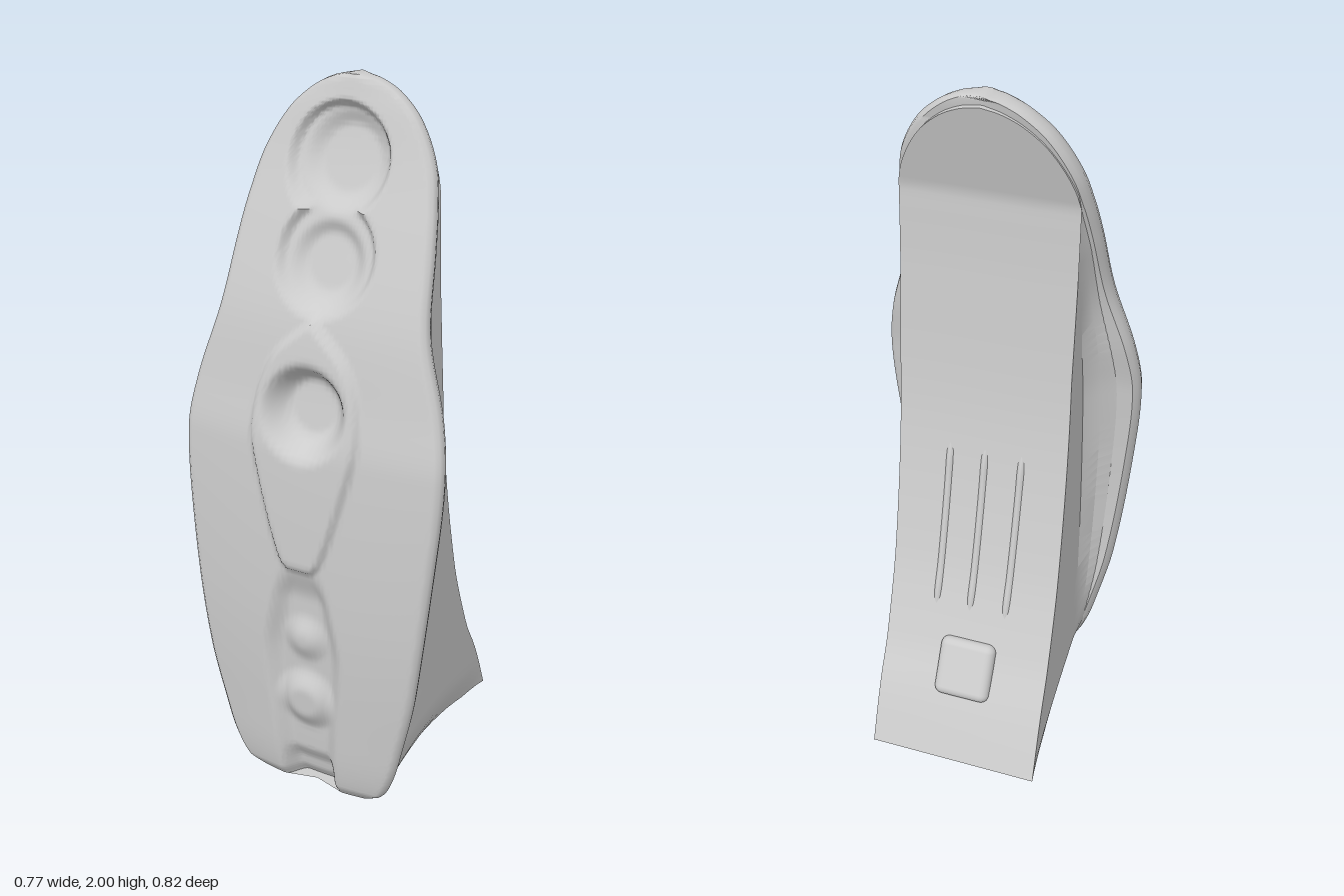
import * as THREE from 'three';
import { toCreasedNormals } from 'three/addons/utils/BufferGeometryUtils.js';
import { RoundedBoxGeometry } from 'three/addons/geometries/RoundedBoxGeometry.js';

const grey = new THREE.MeshStandardMaterial({ color: 0xcccccc });
const { smoothstep, lerp, clamp } = THREE.MathUtils;

// Smooth curve through [y, value] keys
function curve(keys) {
  const slope = (i) => {
    const a = keys[Math.max(i - 1, 0)], b = keys[Math.min(i + 1, keys.length - 1)];
    return (b[1] - a[1]) / (b[0] - a[0]);
  };
  return (y) => {
    let i = 0;
    while (i < keys.length - 2 && y > keys[i + 1][0]) i++;
    const [y0, a] = keys[i], [y1, b] = keys[i + 1], h = y1 - y0;
    const t = clamp((y - y0) / h, 0, 1), t2 = t * t, t3 = t2 * t;
    return (2 * t3 - 3 * t2 + 1) * a + (t3 - 2 * t2 + t) * h * slope(i)
      + (3 * t2 - 2 * t3) * b + (t3 - t2) * h * slope(i + 1);
  };
}

// Half width of the plate, its front depth, the back depth of the body
const halfWidth = curve([[0, 0.185], [0.03, 0.225], [0.1, 0.26], [0.2, 0.288], [0.4, 0.332], [0.8, 0.378],
  [1.05, 0.392], [1.2, 0.37], [1.4, 0.312], [1.6, 0.288], [1.7, 0.273], [1.8, 0.248], [1.9, 0.192],
  [1.96, 0.128], [1.99, 0.068], [2, 0.02]]);
const frontZ = curve([[0, 0.305], [0.04, 0.325], [0.2, 0.338], [0.6, 0.348], [1.05, 0.326], [1.2, 0.3],
  [1.4, 0.265], [1.6, 0.2], [1.8, 0.128], [1.95, 0.09], [2, 0.082]]);
const lowerBack = curve([[0, -0.37], [0.2, -0.28], [0.36, -0.195], [0.6, -0.095], [1.02, 0.013],
  [1.45, 0.065], [1.7, 0.08]]);
const backZ = (y) => (y < 1.7 ? lowerBack(y) : lerp(0.08, 0.015, (y - 1.7) / 0.25));
const leafWidth = curve([[0.72, 0.045], [0.76, 0.075], [0.96, 0.138], [1.13, 0.17], [1.3, 0.125], [1.42, 0]]);
const channelWidth = curve([[0, 0.1], [0.2, 0.11], [0.45, 0.13], [0.6, 0.105], [0.74, 0.07]]);

// Height of the carved pattern on the front
function relief(x, y) {
  const disc = (cx, cy, r, soft) => smoothstep(r - Math.hypot(x - cx, y - cy), 0, soft);
  let z = 0;
  // figure-eight recess with two bowls
  z -= 0.028 * Math.max(disc(-0.01, 1.79, 0.155, 0.03), disc(0, 1.56, 0.15, 0.03));
  z -= 0.025 * disc(0.005, 1.79, 0.135, 0.06) + 0.025 * disc(0, 1.54, 0.115, 0.05);
  // raised leaf with a deep bowl
  z += 0.018 * smoothstep(leafWidth(y) - Math.abs(x), 0, 0.025) * smoothstep(y, 0.715, 0.74);
  z -= 0.07 * disc(0, 1.17, 0.135, 0.07);
  // lower channel with two knobs and a notch at the foot
  z -= 0.032 * smoothstep(channelWidth(y) - Math.abs(x), 0, 0.06) * smoothstep(0.74 - y, 0, 0.12);
  z += 0.022 * disc(0, 0.5, 0.08, 0.07) + 0.028 * disc(0, 0.3, 0.105, 0.07);
  z -= 0.025 * smoothstep(0.09 - Math.abs(x), 0, 0.04) * smoothstep(0.13 - y, 0, 0.07);
  return z;
}

// Skin over equal closed loops stacked upwards, with fan caps
function loft(rows, crease) {
  const n = rows[0].length, pos = rows.flat(2), index = [];
  for (let i = 0; i < rows.length - 1; i++) {
    for (let j = 0; j < n; j++) {
      const a = i * n + j, b = i * n + (j + 1) % n;
      index.push(a, b, b + n, a, b + n, a + n);
    }
  }
  for (const [row, top] of [[0, false], [rows.length - 1, true]]) {
    const c = pos.length / 3;
    for (let k = 0; k < 3; k++) pos.push(rows[row].reduce((s, p) => s + p[k], 0) / n);
    for (let j = 0; j < n; j++) {
      const a = row * n + j, b = row * n + (j + 1) % n;
      index.push(c, ...(top ? [a, b] : [b, a]));
    }
  }
  const g = new THREE.BufferGeometry();
  g.setAttribute('position', new THREE.Float32BufferAttribute(pos, 3));
  g.setIndex(index);
  return toCreasedNormals(g, crease);
}

// Curved front plate with a rounded rim, thicker on its right
function plateGeometry() {
  const rows = [], N = 220, M = 110;
  for (let i = 0; i <= N; i++) {
    const y = 1 - Math.cos(Math.PI * i / N), w = halfWidth(y), z = frontZ(y);
    const inset = Math.min(0.018, w * 0.4), loop = [];
    for (let j = 0; j <= M; j++) {
      const t = j / M * 2 - 1, x = t * (w - inset);
      loop.push([x, y, z + 0.07 * w * (1 - t * t) + relief(x, y)]);
    }
    const rim = (sign, thick) => [[0.3, 0.16], [0, 0.48], [0.3, 0.8], [1, 1]].map(
      ([a, b]) => [sign * (w - a * inset), y, z - b * thick]);
    loop.push(...rim(1, 0.05), ...rim(-1, 0.068).reverse());
    rows.push(loop);
  }
  return loft(rows, 0.8);
}

// Wedge body behind the plate, a little wider on its right, hollowed underneath
function bodyGeometry() {
  const rows = [], N = 80, S = 12;
  for (let i = 0; i <= N; i++) {
    const y = 1.975 * Math.sin(Math.PI / 2 * i / N), zb = backZ(y);
    const w = halfWidth(Math.min(2, y + 0.025)) - 0.015;
    const zf = Math.max(frontZ(y) - 0.045, zb + 0.008);
    const flank = (sign, front, back, taper) => {
      const f = Math.min(front, w), b = y > 1 ? Math.min(back, w) : back;
      const zs = Math.max(zf - taper, zb + 0.004);
      const line = [[sign * w, zf], [sign * lerp(f, w, 0.3), lerp(zf, zs, 0.45)]];
      for (let k = 0; k <= S; k++) line.push([sign * lerp(f, b, k / S), lerp(zs, zb, k / S)]);
      line.push([sign * b * 0.5, zb]);
      return line;
    };
    const h = Math.min(1, y / 1.2);
    const left = flank(1, 0.25, lerp(0.222, 0.252, h), 0.035);
    const right = flank(-1, 0.245, lerp(0.288, 0.252, h), 0.09);
    const fade = Math.max(0, 1 - y / 0.3);
    rows.push([...left, [0, zb], ...right.reverse()].map(([x, z]) => {
      const bow = Math.max(0, 1 - ((z + 0.02) / 0.34) ** 2);
      const lift = 0.015 + 0.02 * smoothstep(-z, 0.2, 0.36) + (0.045 + 0.09 * x) * bow;
      return [x, y + lift * fade, z];
    }));
  }
  return loft(rows, 0.5);
}

export function createModel() {
  const model = new THREE.Group();
  model.name = 'carvedWedge';
  const add = (name, geometry) => {
    const mesh = new THREE.Mesh(geometry, grey);
    mesh.name = name;
    model.add(mesh);
    return mesh;
  };

  add('frontPlate', plateGeometry());
  add('wedgeBody', bodyGeometry());

  // Raised pad low on the back
  const pad = add('backPad', new RoundedBoxGeometry(0.17, 0.18, 0.06, 3, 0.025));
  pad.position.set(-0.03, 0.29, backZ(0.29) + 0.002);
  pad.rotation.x = 0.5;

  // Three slim ribs up the back, sunk at both ends
  for (const x of [-0.125, -0.015, 0.09]) {
    const points = [];
    for (let k = 0; k <= 8; k++) {
      const y = lerp(0.42, 0.97, k / 8);
      points.push(new THREE.Vector3(x, y, backZ(y) + (k % 8 ? 0.007 : 0.02)));
    }
    add('backRib', new THREE.TubeGeometry(new THREE.CatmullRomCurve3(points), 32, 0.013, 8));
  }

  // The whole piece stands slightly turned
  model.rotation.y = -0.185;
  model.position.set(0.057, 0, 0.006);
  return model;
}
